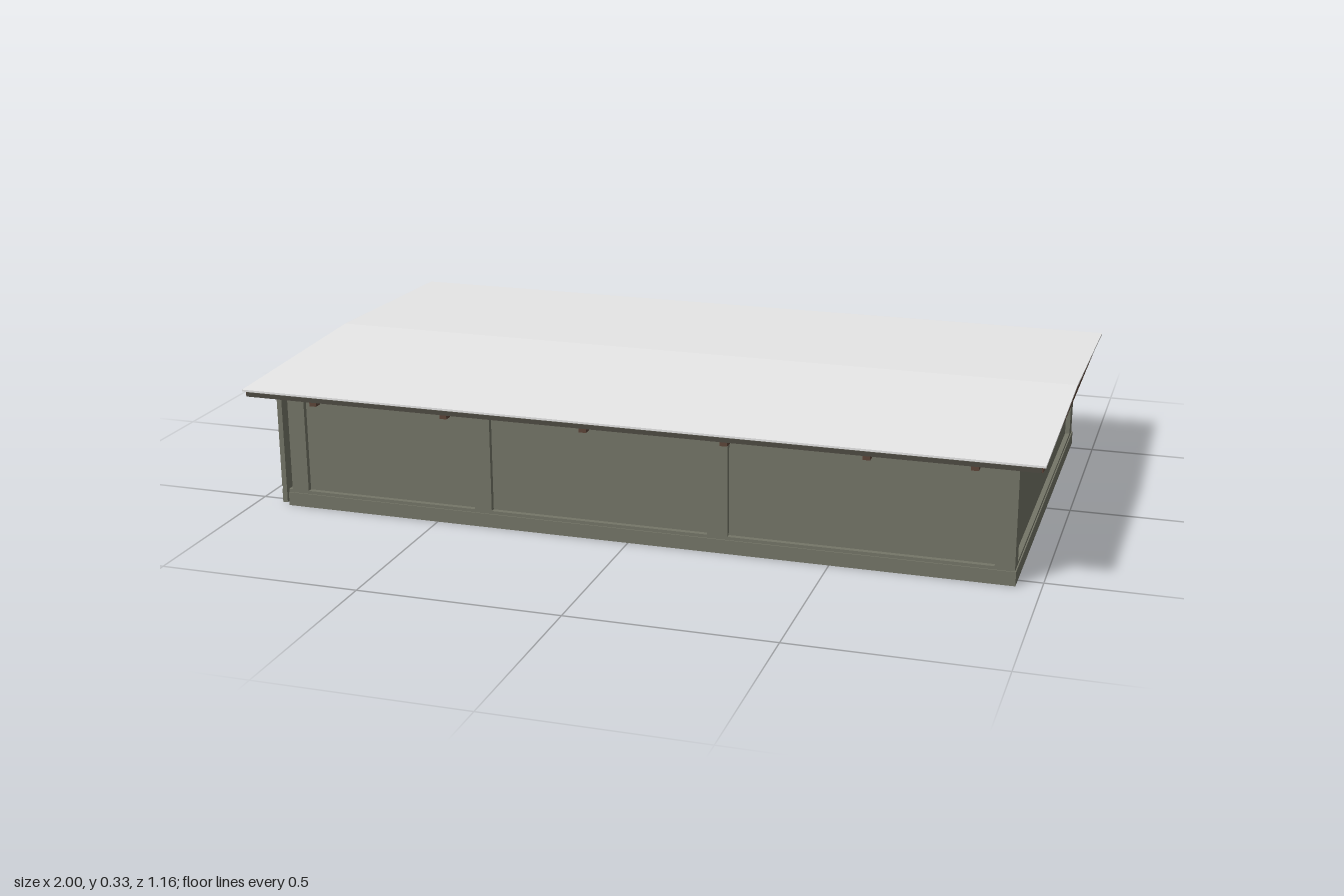
import * as THREE from 'three';

const mat = (name, color) => {
  const m = new THREE.MeshStandardMaterial({ color });
  m.name = name;
  return m;
};

export function createModel() {
  const olive = mat('olive cladding', 0x747567);
  const grey = mat('pale roofing', 0xe8e8e8);
  const brown = mat('brown timber', 0x5c4438);
  const dark = mat('dark timber', 0x4d4a42);
  const model = new THREE.Group();
  model.name = 'shed';

  // box given by its minimum and maximum on each axis
  const box = (name, m, x0, x1, y0, y1, z0, z1, parent = model) => {
    const mesh = new THREE.Mesh(new THREE.BoxGeometry(x1 - x0, y1 - y0, z1 - z0), m);
    mesh.position.set((x0 + x1) / 2, (y0 + y1) / 2, (z0 + z1) / 2);
    mesh.name = name;
    parent.add(mesh);
  };
  // box repeated at +z and -z
  const pair = (name, m, x0, x1, y0, y1, z0, z1, parent) => {
    box(name, m, x0, x1, y0, y1, z0, z1, parent);
    box(name, m, x0, x1, y0, y1, -z1, -z0, parent);
  };
  // section in z and y, extruded along x
  const alongX = (name, m, points, length) => {
    const shape = new THREE.Shape(points.map(([z, y]) => new THREE.Vector2(z, y)));
    const geo = new THREE.ExtrudeGeometry(shape, { depth: length, bevelEnabled: false });
    geo.translate(0, 0, -length / 2).rotateY(-Math.PI / 2);
    const mesh = new THREE.Mesh(geo, m);
    mesh.name = name;
    model.add(mesh);
  };

  // long walls: two thin skins with a hollow between, plinth, ledge and battens
  pair('longWall', olive, -0.905, 0.925, 0.03, 0.298, 0.517, 0.523);
  pair('longInnerSkin', olive, -0.868, 0.868, 0, 0.298, 0.465, 0.469);
  pair('longPlinth', olive, -0.91, 0.94, 0, 0.035, 0.535, 0.539);
  pair('longLedge', olive, -0.91, 0.937, 0.035, 0.043, 0.517, 0.536);
  for (const [a, b] of [[-0.9, -0.855], [-0.4, -0.355], [0.2, 0.25], [0.89, 0.937]])
    pair('longBatten', olive, a, b, 0.043, 0.29, 0.523, 0.536);

  // closed end wall
  box('endWall', olive, 0.919, 0.925, 0.03, 0.298, -0.523, 0.523);
  box('endInnerSkin', olive, 0.864, 0.868, 0, 0.298, -0.465, 0.465);
  box('endPlinth', olive, 0.936, 0.94, 0, 0.035, -0.539, 0.539);
  box('endLedge', olive, 0.919, 0.937, 0.035, 0.043, -0.536, 0.536);
  pair('endBatten', olive, 0.925, 0.937, 0.043, 0.29, 0.49, 0.53);

  // entrance wall either side of the opening
  pair('entranceWall', olive, -0.93, -0.924, 0, 0.298, 0.265, 0.522);
  pair('entranceInnerSkin', olive, -0.868, -0.864, 0, 0.298, 0.265, 0.465);
  pair('entranceJamb', olive, -0.924, -0.868, 0, 0.298, 0.265, 0.269);
  pair('entrancePlinth', olive, -0.937, -0.93, 0, 0.035, 0.265, 0.522);
  pair('entranceLedge', olive, -0.935, -0.93, 0.035, 0.043, 0.265, 0.522);
  pair('entranceBatten', olive, -0.937, -0.93, 0.043, 0.29, 0.48, 0.522);
  box('lintel', olive, -0.93, -0.868, 0.262, 0.298, -0.265, 0.265);
  box('threshold', olive, -0.945, -0.868, 0, 0.012, -0.265, 0.265);

  // door frame
  const frame = new THREE.Group();
  frame.name = 'doorFrame';
  model.add(frame);
  pair('doorPost', grey, -0.955, -0.925, 0, 0.24, 0.25, 0.295, frame);
  box('doorHeader', brown, -0.957, -0.9, 0.24, 0.265, -0.3, 0.3, frame);
  box('headerCap', dark, -0.963, -0.93, 0.265, 0.28, -0.32, 0.32, frame);

  // low gabled roof sheet over a timber deck
  alongX('roofSheet', grey,
    [[-0.58, 0.307], [0, 0.327], [0.58, 0.307], [0.58, 0.312], [0, 0.332], [-0.58, 0.312]], 2);
  alongX('roofDeck', brown,
    [[-0.572, 0.298], [0.572, 0.298], [0.572, 0.306], [0, 0.326], [-0.572, 0.306]], 1.96);

  // gable infill with stepped boards
  alongX('gableInfill', olive, [[-0.575, 0.305], [0.575, 0.305], [0, 0.326]], 1.98);
  for (const x of [-0.985, 0.985]) {
    box('gableBoard', brown, x - 0.008, x + 0.008, 0.293, 0.305, -0.573, 0.573);
    box('gableBoard', brown, x - 0.008, x + 0.008, 0.305, 0.312, -0.24, 0.24);
    box('gableBoard', brown, x - 0.008, x + 0.008, 0.314, 0.32, -0.1, 0.1);
  }
  pair('eaveTrim', dark, -0.99, 0.99, 0.294, 0.305, 0.57, 0.577);

  // small rafters below the overhangs
  for (let i = 0; i < 50; i++) {
    const x = -0.97 + i * 1.94 / 49;
    pair('eaveRafter', dark, x - 0.007, x + 0.007, 0.293, 0.299, 0.523, 0.57);
  }
  for (let i = 0; i < 28; i++) {
    const z = -0.54 + i * 0.04;
    for (const x of [-0.957, 0.957])
      box('gableRafter', dark, x - 0.022, x + 0.022, 0.293, 0.299, z - 0.007, z + 0.007);
  }
  for (const x of [-0.81, -0.46, -0.1, 0.25, 0.59, 0.84])
    pair('eaveBracket', brown, x - 0.009, x + 0.009, 0.283, 0.296, 0.55, 0.573);

  return model;
}
